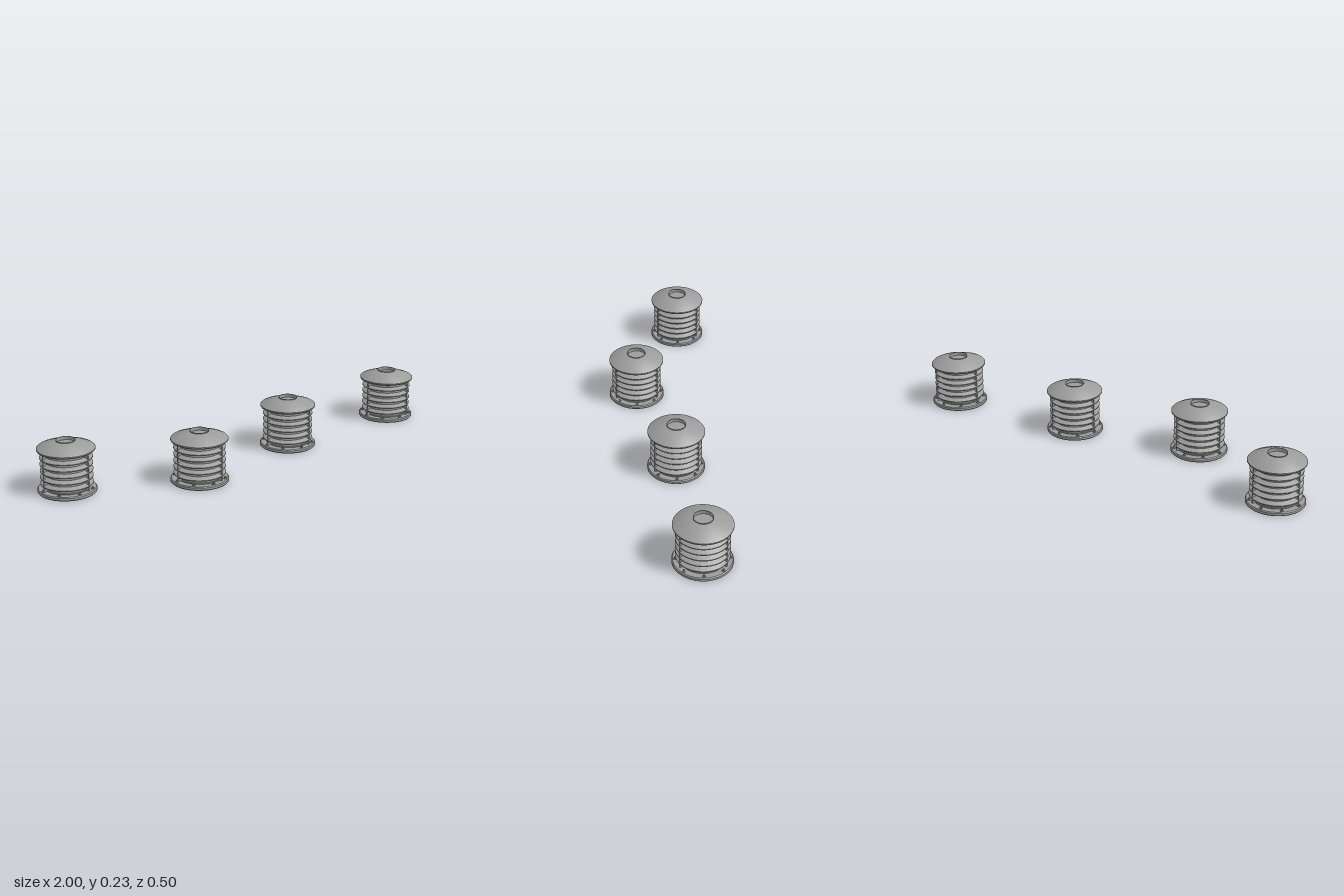
import * as THREE from 'three';
import { toCreasedNormals } from 'three/addons/utils/BufferGeometryUtils.js';

const metal = new THREE.MeshStandardMaterial({ color: 0x9c9c9c });
metal.name = 'grey metal';

// Closed ring or disc from [radius, height] pairs, listed bottom to top on the outside
function turned(name, points) {
  const profile = points.map(([r, y]) => new THREE.Vector2(r, y));
  const geometry = toCreasedNormals(new THREE.LatheGeometry(profile, 64), 0.5);
  const mesh = new THREE.Mesh(geometry, metal);
  mesh.name = name;
  return mesh;
}

function createVent() {
  const vent = new THREE.Group();

  vent.add(turned('baseFlange', [
    [0, 0], [0.123, 0], [0.127, 0.004], [0.127, 0.014], [0.123, 0.018], [0, 0.018],
  ]));
  vent.add(turned('core', [
    [0.096, 0.018], [0.096, 0.022], [0.092, 0.023], [0.092, 0.186],
  ]));

  // Downward sloping louvres
  for (let i = 0; i < 5; i++) {
    const y = 0.038 + i * 0.029;
    vent.add(turned('louvre', [
      [0.09, y + 0.003], [0.106, y - 0.001], [0.113, y], [0.113, y + 0.004], [0.095, y + 0.014], [0.09, y + 0.014],
    ]));
  }

  // Three upright ribs tying the louvres together
  for (let i = 0; i < 3; i++) {
    const a = Math.PI / 3 + (i * Math.PI * 2) / 3;
    const rib = new THREE.Mesh(new THREE.BoxGeometry(0.02, 0.166, 0.006), metal);
    rib.name = 'rib';
    rib.position.set(Math.cos(a) * 0.1, 0.101, Math.sin(a) * 0.1);
    rib.rotation.y = -a;
    vent.add(rib);
  }

  // Bolts around the flange
  for (let i = 0; i < 8; i++) {
    const a = (i * Math.PI) / 4;
    const bolt = new THREE.Group();
    bolt.name = 'bolt';
    const nut = new THREE.Mesh(new THREE.CylinderGeometry(0.0075, 0.0075, 0.004, 12), metal);
    nut.name = 'washer';
    nut.position.y = 0.019;
    const stud = new THREE.Mesh(new THREE.CylinderGeometry(0.0038, 0.0038, 0.009, 10), metal);
    stud.name = 'stud';
    stud.position.y = 0.0225;
    bolt.add(nut, stud);
    bolt.position.set(Math.cos(a) * 0.113, 0, Math.sin(a) * 0.113);
    vent.add(bolt);
  }

  // Conical lid with a shallow round recess at the crown
  vent.add(turned('lid', [
    [0, 0.182], [0.108, 0.182], [0.122, 0.187], [0.125, 0.191], [0.125, 0.196], [0.121, 0.2],
    [0.049, 0.2265], [0.042, 0.228], [0.042, 0.2317], [0.04, 0.2317], [0.04, 0.216], [0, 0.216],
  ]));
  return vent;
}

export function createModel() {
  const model = new THREE.Group();
  model.name = 'roofVents';
  const places = [[-0.873, -0.083], [-0.34, 0.125], [0.235, -0.04], [0.873, -0.125]];
  places.forEach(([x, z], i) => {
    const vent = createVent();
    vent.name = `vent${i + 1}`;
    vent.position.set(x, 0, z);
    model.add(vent);
  });
  return model;
}
